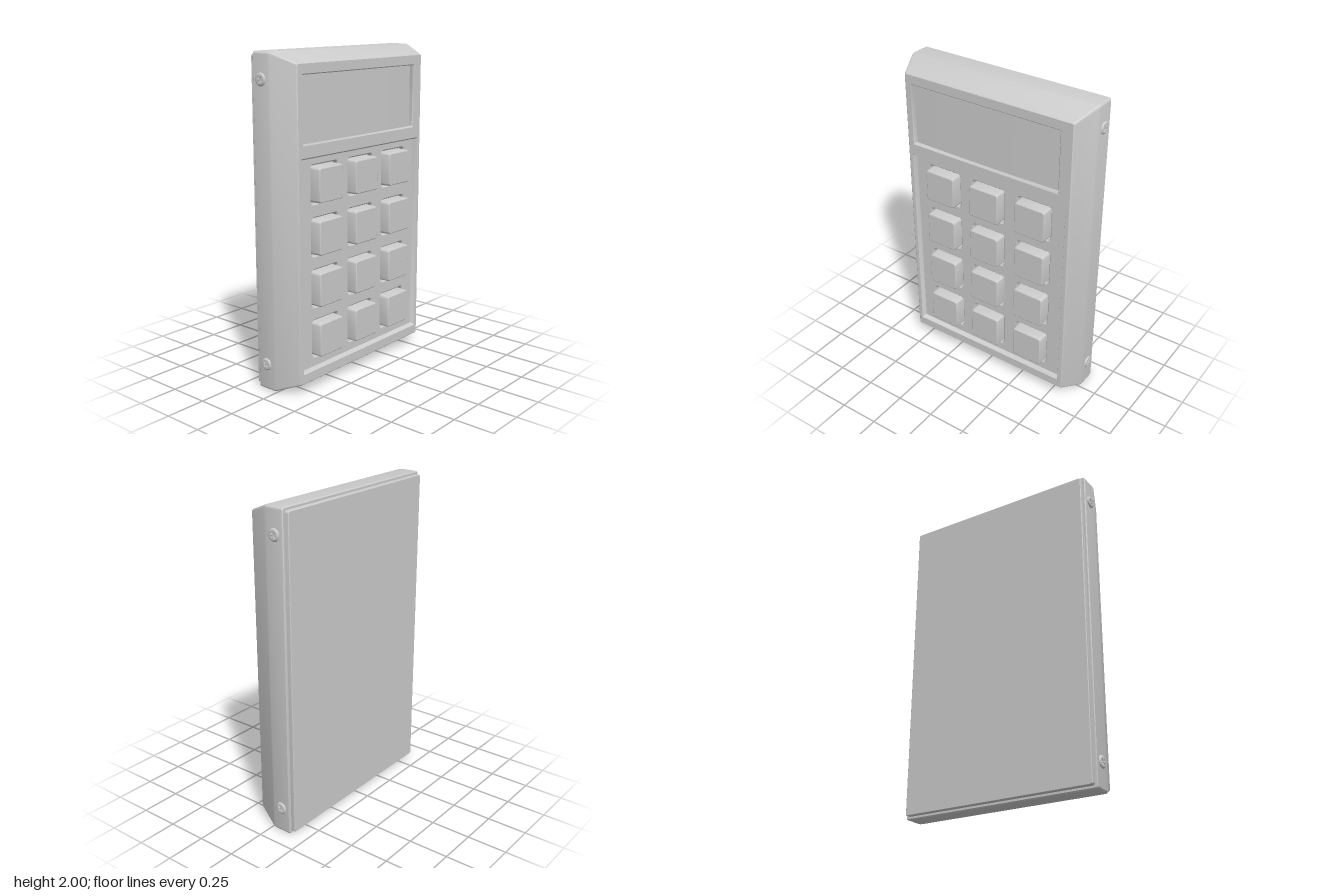
import * as THREE from 'three';
import { toCreasedNormals } from 'three/addons/utils/BufferGeometryUtils.js';

const material = new THREE.MeshStandardMaterial({ color: 0xcccccc });

// Counter-clockwise rounded rectangle as a list of points
function roundedRect(x, y, w, h, r) {
  const pts = [];
  const steps = 4;
  [[1, 1], [-1, 1], [-1, -1], [1, -1]].forEach(([sx, sy], q) => {
    for (let i = 0; i <= steps; i++) {
      const a = (q + i / steps) * Math.PI / 2;
      pts.push(new THREE.Vector2(
        x + sx * (w / 2 - r) + r * Math.cos(a),
        y + sy * (h / 2 - r) + r * Math.sin(a)));
    }
  });
  return pts;
}

// Skin joining rounded rectangles [w, h, r, z] that share a centre
function loft(x, y, rings) {
  const loops = rings.map(([w, h, r, z]) =>
    roundedRect(x, y, w, h, r).map(p => [p.x, p.y, z]));
  const n = loops[0].length;
  const positions = [];
  for (let k = 0; k < loops.length - 1; k++) {
    const a = loops[k], b = loops[k + 1];
    for (let i = 0; i < n; i++) {
      const j = (i + 1) % n;
      positions.push(...a[i], ...a[j], ...b[j], ...a[i], ...b[j], ...b[i]);
    }
  }
  const g = new THREE.BufferGeometry();
  g.setAttribute('position', new THREE.Float32BufferAttribute(positions, 3));
  return toCreasedNormals(g, 0.45);
}

// Flat front-facing sheet with rounded rectangular openings
function sheet(outer, holes, z) {
  const shape = new THREE.Shape(roundedRect(...outer));
  holes.forEach(h => shape.holes.push(new THREE.Path(roundedRect(...h).reverse())));
  return new THREE.ShapeGeometry(shape).translate(0, 0, z);
}

export function createModel() {
  const root = new THREE.Group();
  const add = (name, geometry, parent = root) => {
    const mesh = new THREE.Mesh(geometry, material);
    mesh.name = name;
    parent.add(mesh);
    return mesh;
  };

  const FRONT = 0.14, PANEL = 0.112;
  const screen = [-0.018, 1.68, 1.036, 0.4, 0.004];
  const pad = [0, 0.765, 1.1, 1.29, 0.006];

  // Casing: straight sides, then a wide chamfer towards the front
  add('casing', loft(0, 1, [
    [0, 0, 0, -0.14], [1.272, 1.988, 0.012, -0.14], [1.282, 2, 0.016, -0.134],
    [1.282, 2, 0.016, -0.022], [1.274, 1.994, 0.016, -0.008],
    [1.16, 1.882, 0.012, 0.134], [1.146, 1.87, 0.01, FRONT]]));
  add('frontFace', sheet([0, 1, 1.146, 1.87, 0.01], [screen, pad], FRONT));

  // Back cover
  add('backCover', loft(0, 1, [
    [0, 0, 0, -0.168], [1.242, 1.956, 0.01, -0.168], [1.25, 1.964, 0.014, -0.164],
    [1.25, 1.964, 0.014, -0.138]]));

  // Display window: recess walls and a gently bowed pane
  const [sx, sy, sw, sh, sr] = screen;
  add('screenRecess', loft(sx, sy, [
    [sw, sh, sr, FRONT], [sw - 0.012, sh - 0.012, sr, FRONT - 0.006],
    [sw - 0.012, sh - 0.012, sr, 0.1]]));
  const pane = new THREE.PlaneGeometry(sw - 0.012, sh - 0.012, 24, 1);
  const p = pane.attributes.position;
  for (let i = 0; i < p.count; i++) {
    const t = p.getX(i) / (sw / 2);
    p.setZ(i, 0.006 * (1 - t * t));
  }
  pane.computeVertexNormals();
  add('screen', pane.translate(sx, sy, 0.112));

  // Keypad recess, its floor, and one socket and key per position
  const [px, py, pw, ph, pr] = pad;
  add('keypadRecess', loft(px, py, [
    [pw, ph, pr, FRONT], [pw - 0.008, ph - 0.008, pr, FRONT - 0.006],
    [pw - 0.026, ph - 0.026, pr, PANEL]]));

  const keys = new THREE.Group();
  keys.name = 'keys';
  root.add(keys);
  const sockets = [];
  for (const y of [1.242, 0.93, 0.617, 0.305]) {
    for (const x of [-0.326, 0, 0.326]) {
      sockets.push([x, y, 0.242, 0.242, 0.026]);
      add('keySocket', loft(x, y, [
        [0.242, 0.242, 0.026, PANEL], [0.228, 0.228, 0.02, PANEL - 0.007],
        [0.228, 0.228, 0.02, 0.08], [0, 0, 0, 0.08]]), keys);
      add('key', loft(x, y, [
        [0.21, 0.21, 0.016, 0.08], [0.208, 0.208, 0.016, 0.158],
        [0.203, 0.203, 0.014, 0.165], [0.194, 0.194, 0.011, 0.168],
        [0, 0, 0, 0.168]]), keys);
    }
  }
  add('keypadFloor', sheet([px, py, pw - 0.026, ph - 0.026, pr], sockets, PANEL));

  // Side screws: shallow domed head around a cross-shaped slot
  const cross = [];
  const a = 0.005, b = 0.02;
  for (let q = 0; q < 4; q++) {
    for (const [u, v] of [[b, -a], [b, a], [a, a]]) {
      cross.push(new THREE.Vector2(u, v).rotateAround(new THREE.Vector2(), q * Math.PI / 2 + Math.PI / 4));
    }
  }
  const head = new THREE.Shape().absarc(0, 0, 0.028, 0, Math.PI * 2);
  head.holes.push(new THREE.Path(cross.reverse()));
  const topGeo = new THREE.ExtrudeGeometry(head, { depth: 0.007, bevelEnabled: false, curveSegments: 16 });
  const rim = new THREE.LatheGeometry(
    [[0.038, -0.003], [0.038, 0.002], [0.034, 0.006], [0.028, 0.009]].map(c => new THREE.Vector2(...c)), 32)
    .rotateX(Math.PI / 2);
  const slotFloor = new THREE.CircleGeometry(0.028, 24).translate(0, 0, 0.003);
  for (const side of [1, -1]) {
    for (const y of [1.845, 0.162]) {
      const screw = new THREE.Group();
      screw.name = side > 0 ? 'leftScrew' : 'rightScrew';
      add('screwTop', topGeo, screw).position.z = 0.002;
      add('screwRim', rim, screw);
      add('slotFloor', slotFloor, screw);
      screw.position.set(side * 0.641, y, -0.077);
      screw.rotation.y = side * Math.PI / 2;
      root.add(screw);
    }
  }
  return root;
}
